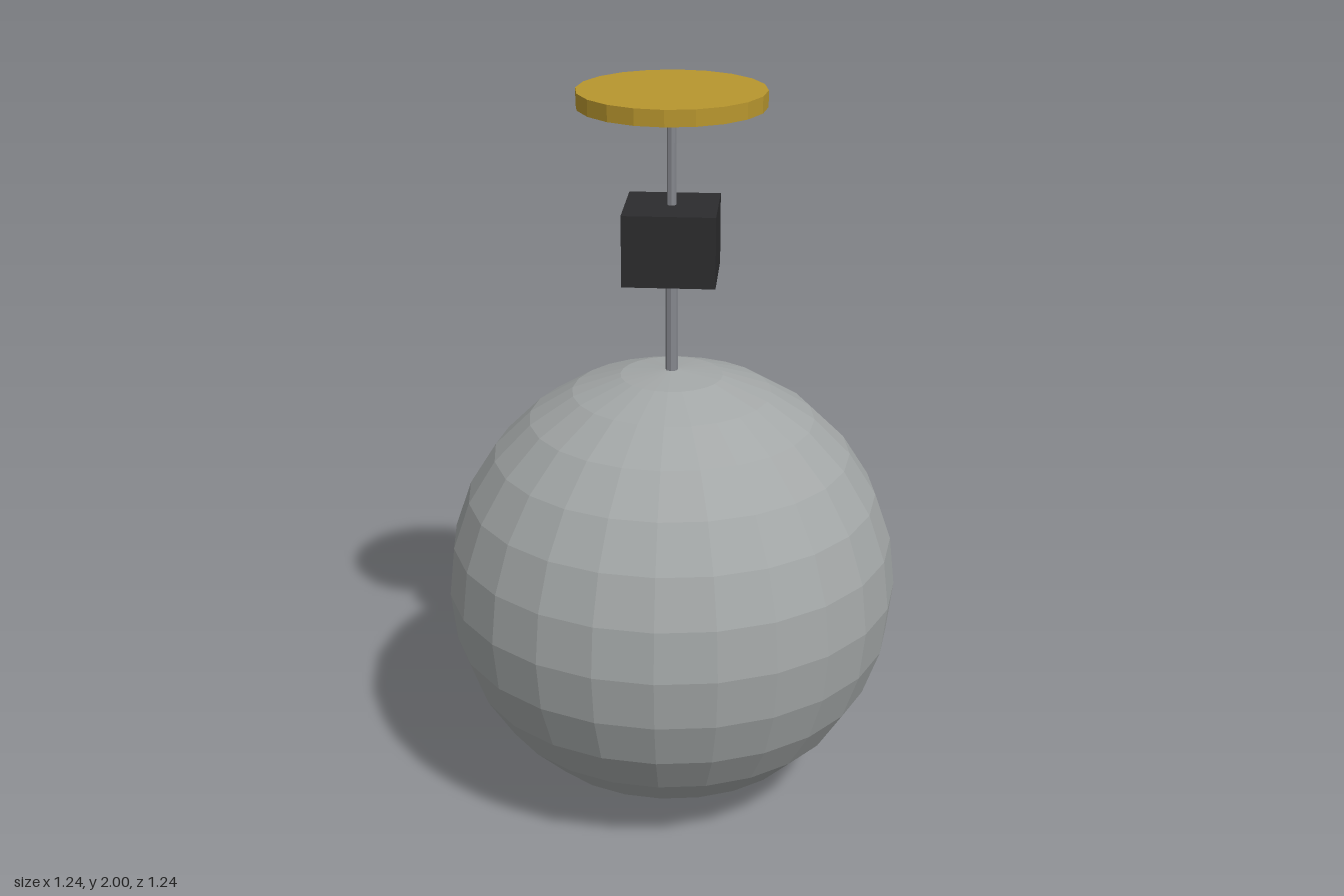
import * as THREE from 'three';

export function createModel() {
  const model = new THREE.Group();

  const add = (name, geometry, color, y) => {
    const material = new THREE.MeshStandardMaterial({ color, flatShading: true });
    const mesh = new THREE.Mesh(geometry, material);
    mesh.name = name;
    mesh.position.y = y;
    model.add(mesh);
  };

  // Vertical cylinder between two heights
  const addCylinder = (name, radius, bottom, top, sides, color) =>
    add(name, new THREE.CylinderGeometry(radius, radius, top - bottom, sides), color, (bottom + top) / 2);

  // Large faceted ball
  const radius = 0.622;
  add('ball', new THREE.SphereGeometry(radius, 24, 14), 0xa3a7a7, radius);

  // Rod from the ball to the motor box
  addCylinder('lowerRod', 0.017, 1.24, 1.508, 8, 0x85878d);

  // Dark motor housing
  add('motorBox', new THREE.BoxGeometry(0.244, 0.19, 0.244), 0x2c2c2e, 1.603);

  // Thinner rod up to the ceiling plate
  addCylinder('upperRod', 0.012, 1.698, 1.957, 8, 0x85878d);

  // Round ceiling plate
  addCylinder('ceilingPlate', 0.247, 1.957, 2, 20, 0xb8962e);

  return model;
}
